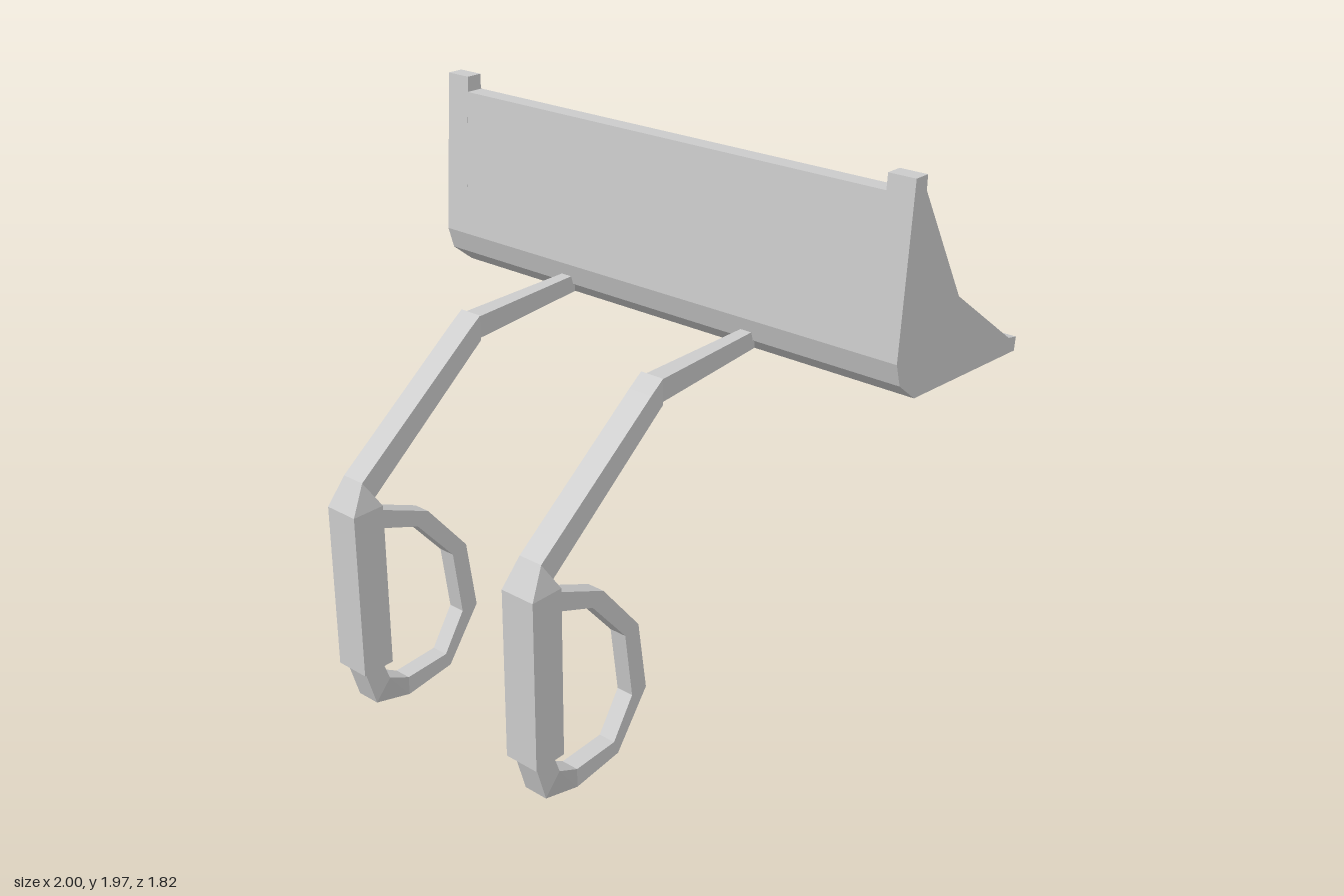
import * as THREE from 'three';

const material = new THREE.MeshStandardMaterial({ color: 0xcccccc, flatShading: true });

function add(parent, name, geometry) {
  const mesh = new THREE.Mesh(geometry, material);
  mesh.name = name;
  parent.add(mesh);
  return mesh;
}

// Extrude a [z, y] profile across x, centred on x = 0
function slab(profile, width) {
  const shape = new THREE.Shape(profile.map(([z, y]) => new THREE.Vector2(z, y)));
  const geometry = new THREE.ExtrudeGeometry(shape, { depth: width, bevelEnabled: false });
  geometry.translate(0, 0, -width / 2);
  return geometry.rotateY(-Math.PI / 2);
}

// Four-sided bar through sections [outer z, outer y, inner z, inner y, half width]
function bar(sections) {
  const rings = sections.map(([az, ay, bz, by, h]) => [
    [h, ay, az], [-h, ay, az], [-h, by, bz], [h, by, bz],
  ].map((p) => new THREE.Vector3(...p)));
  const tris = [];
  const quad = (a, b, c, d) => tris.push([a, b, c], [a, c, d]);
  for (let i = 0; i < rings.length - 1; i++) {
    for (let j = 0; j < 4; j++) {
      const k = (j + 1) % 4;
      quad(rings[i][j], rings[i][k], rings[i + 1][k], rings[i + 1][j]);
    }
  }
  const first = rings[0], last = rings[rings.length - 1];
  quad(first[3], first[2], first[1], first[0]);
  quad(last[0], last[1], last[2], last[3]);
  // A negative volume means the faces point inward
  const volume = tris.reduce((s, [a, b, c]) => s + a.dot(b.clone().cross(c)), 0);
  if (volume < 0) tris.forEach((t) => t.reverse());
  const geometry = new THREE.BufferGeometry().setFromPoints(tris.flat());
  geometry.computeVertexNormals();
  return geometry;
}

export function createModel() {
  const model = new THREE.Group();
  model.name = 'loaderBucketWithArms';

  // Bucket: one shell between two thick side plates
  const bucket = new THREE.Group();
  bucket.name = 'bucket';
  model.add(bucket);
  const outside = [[-0.91, 1.25], [-0.905, 1.2], [-0.28, 1.23], [-0.19, 1.3], [-0.165, 1.38]];
  add(bucket, 'bucketShell', slab([
    ...outside, [-0.197, 1.91], [-0.265, 1.91], [-0.3, 1.54], [-0.55, 1.33],
  ], 1.8));
  for (const side of [-1, 1]) {
    const plate = add(bucket, side > 0 ? 'leftSidePlate' : 'rightSidePlate', slab([
      ...outside, [-0.2, 1.965], [-0.262, 1.965], [-0.262, 1.915], [-0.505, 1.51], [-0.86, 1.26],
    ], 0.1));
    plate.position.x = side * 0.95;
  }

  // Arms: bent arm with block, thin link to the bucket, and a loop below
  const armGeometry = bar([
    [0.91, 0.195, 0.785, 0.195, 0.065],
    [0.91, 0.8, 0.785, 0.8, 0.065],
    [0.85, 0.9, 0.8, 0.83, 0.045],
    [0.35, 1.285, 0.295, 1.235, 0.045],
    [0.295, 1.325, 0.295, 1.235, 0.045],
  ]);
  const linkGeometry = bar([
    [0.3, 1.317, 0.3, 1.238, 0.035],
    [-0.2, 1.332, -0.2, 1.27, 0.022],
  ]);
  const loopGeometry = bar([
    [0.895, 0.2, 0.815, 0.2, 0.045],
    [0.85, 0.05, 0.785, 0.12, 0.045],
    [0.69, 0, 0.69, 0.07, 0.032],
    [0.49, 0.027, 0.51, 0.08, 0.032],
    [0.35, 0.22, 0.42, 0.22, 0.032],
    [0.39, 0.48, 0.455, 0.465, 0.032],
    [0.56, 0.68, 0.61, 0.64, 0.032],
    [0.79, 0.775, 0.79, 0.705, 0.032],
  ]);
  for (const side of [-1, 1]) {
    const arm = new THREE.Group();
    arm.name = side > 0 ? 'leftArm' : 'rightArm';
    arm.position.x = side * 0.405;
    add(arm, 'bentArm', armGeometry);
    add(arm, 'bucketLink', linkGeometry);
    add(arm, 'loop', loopGeometry);
    model.add(arm);
  }
  return model;
}
